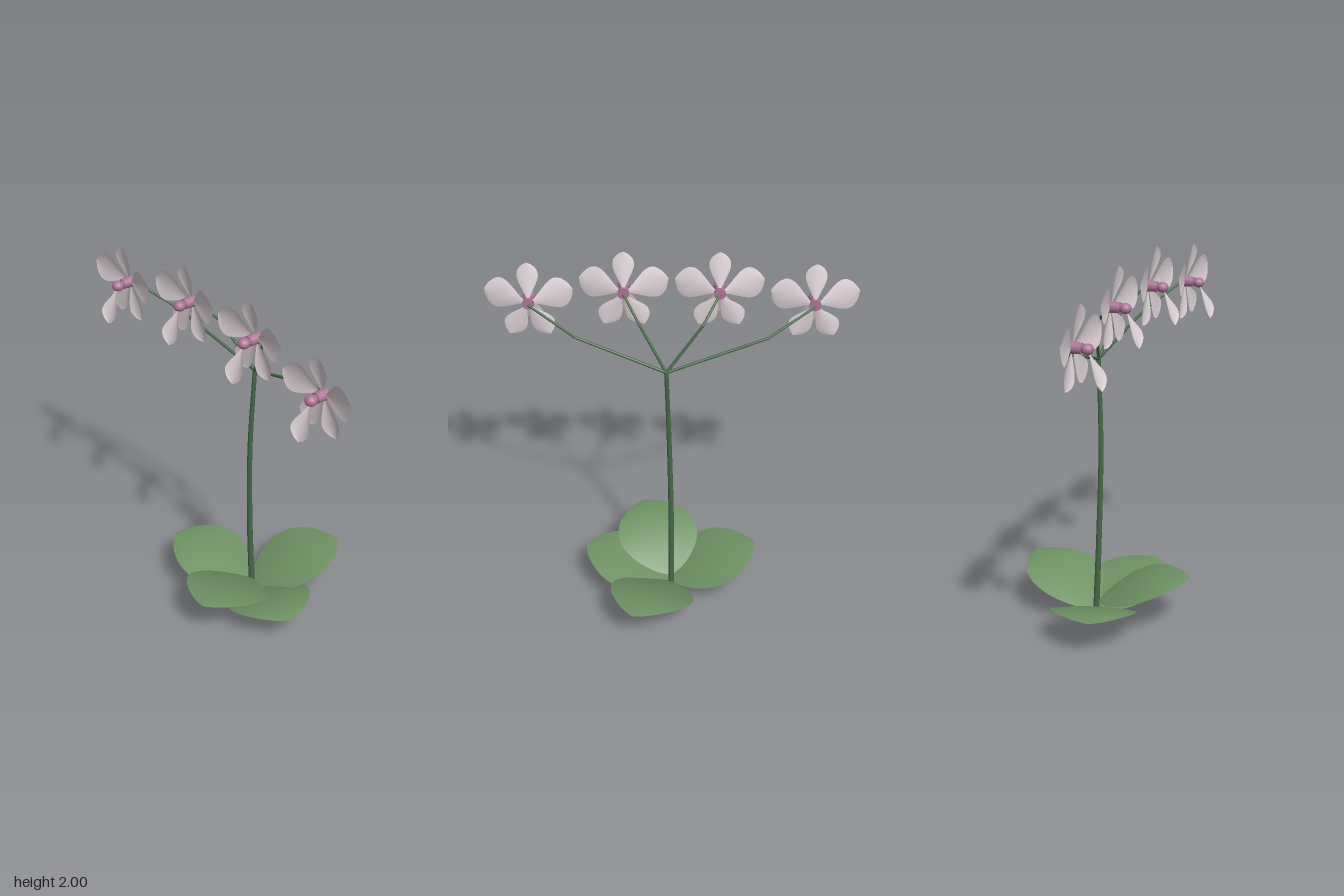
import * as THREE from 'three';

const mat = (name, color, side = THREE.FrontSide) => {
  const m = new THREE.MeshStandardMaterial({ color, side });
  m.name = name;
  return m;
};

export function createModel() {
  const leafGreen = mat('leaf green', 0x6e9264, THREE.DoubleSide);
  const stemGreen = mat('stem green', 0x47684a);
  const petalWhite = mat('pale petal', 0xe0d4d8, THREE.DoubleSide);
  const heartPink = mat('pink heart', 0xac7697);

  const model = new THREE.Group();
  model.name = 'floweringPlant';
  const V = (x, y, z) => new THREE.Vector3(x, y, z);

  const add = (parent, name, geometry, material) => {
    const m = new THREE.Mesh(geometry, material);
    m.name = name;
    parent.add(m);
    return m;
  };

  // Thin blade growing along +y and facing +z; belly > 1 moves the widest point outward
  function blade(length, halfWidth, { belly = 1, round, lift = () => 0, cup }) {
    const g = new THREE.PlaneGeometry(2, 1, 10, 18);
    const p = g.attributes.position;
    for (let i = 0; i < p.count; i++) {
      const u = p.getX(i);
      const t = p.getY(i) + 0.5;
      const f = Math.max(0.02, Math.pow(Math.max(0, Math.sin(Math.PI * Math.pow(t, belly))), round));
      p.setXYZ(i, u * halfWidth * f, t * length, lift(t) + cup * u * u * f);
    }
    g.computeVertexNormals();
    return g;
  }

  // Tapered round limb through a list of points
  function limb(name, points, r0, r1) {
    const group = new THREE.Group();
    group.name = name;
    const n = points.length - 1;
    const radius = (i) => r0 + (r1 - r0) * (i / n);
    for (let i = 0; i < n; i++) {
      const d = points[i + 1].clone().sub(points[i]);
      const g = new THREE.CylinderGeometry(radius(i + 1), radius(i), d.length(), 10);
      const seg = add(group, 'segment', g, stemGreen);
      seg.position.copy(points[i]).addScaledVector(d, 0.5);
      seg.quaternion.setFromUnitVectors(V(0, 1, 0), d.normalize());
      if (i > 0) add(group, 'joint', new THREE.SphereGeometry(radius(i), 10, 6), stemGreen).position.copy(points[i]);
    }
    model.add(group);
  }

  // Main stem, slightly bowed
  const fork = V(0.024, 1.45, -0.008);
  const bow = new THREE.CatmullRomCurve3([
    V(0, 0, -0.012), V(0, 0.5, 0.006), V(0.01, 1, 0.012), fork,
  ]);
  limb('stem', bow.getPoints(10), 0.017, 0.011);

  // Arched basal leaves: tip x, tip z, base height, tip height
  [
    [0.2, -0.472, 0.06, 0.24],
    [0.155, 0.465, 0.105, 0.266],
    [-0.462, 0.155, 0.065, 0.218],
    [0.472, 0.15, 0.045, 0.195],
  ].forEach(([x, z, base, tip]) => {
    const g = blade(Math.hypot(x, z), 0.225, {
      round: 0.7, cup: -0.016,
      lift: (t) => (tip - base) * Math.sin(t * 1.8) / Math.sin(1.8),
    });
    g.rotateX(-Math.PI / 2);
    const leaf = add(model, 'leaf', g, leafGreen);
    leaf.rotation.y = Math.atan2(-x, -z);
    leaf.position.y = base;
  });

  // Petals: angle from straight up, length, half width, forward lean
  const petals = [
    [0, 0.205, 0.053, 0.042],
    [1.31, 0.227, 0.084, 0.046],
    [-1.31, 0.227, 0.084, 0.046],
    [2.63, 0.208, 0.058, 0.012],
    [-2.63, 0.208, 0.058, 0.012],
  ];

  function flower(x, y, z) {
    const f = new THREE.Group();
    f.name = 'flower';
    f.position.set(x, y, z);
    for (const [angle, length, width, lean] of petals) {
      const g = blade(length, width, {
        belly: 1.8, round: 0.75, cup: 0.012, lift: (t) => lean * t - 0.01,
      });
      add(f, 'petal', g, petalWhite).rotation.z = -angle;
    }
    // Forward-hanging lip with flared edges
    const lipShape = blade(0.197, 0.057, { belly: 1.9, round: 0.8, cup: 0.015 });
    lipShape.rotateZ(Math.PI);
    const lip = add(f, 'lip', lipShape, petalWhite);
    lip.position.set(0, -0.005, 0.068);
    lip.rotation.x = -0.37;
    // Heart: collar, neck and knob
    const collar = new THREE.CylinderGeometry(0.026, 0.03, 0.06, 14).rotateX(Math.PI / 2);
    add(f, 'collar', collar, heartPink).position.z = 0.01;
    const neck = new THREE.CylinderGeometry(0.02, 0.02, 0.04, 12).rotateX(Math.PI / 2);
    add(f, 'neck', neck, heartPink).position.z = 0.045;
    const knob = add(f, 'knob', new THREE.SphereGeometry(0.03, 16, 12), heartPink);
    knob.position.z = 0.066;
    knob.scale.y = 0.88;
    model.add(f);
  }

  // Mirrored flower branches
  for (const s of [-1, 1]) {
    limb('outerBranch', [fork, V(s * 0.475, 1.61, 0.06), V(s * 0.71, 1.722, 0.175)], 0.008, 0.006);
    flower(s * 0.71, 1.722, 0.202);
    limb('innerBranch', [fork, V(s * 0.155, 1.68, 0.06), V(s * 0.236, 1.796, 0.16)], 0.008, 0.006);
    flower(s * 0.236, 1.796, 0.182);
  }

  return model;
}
